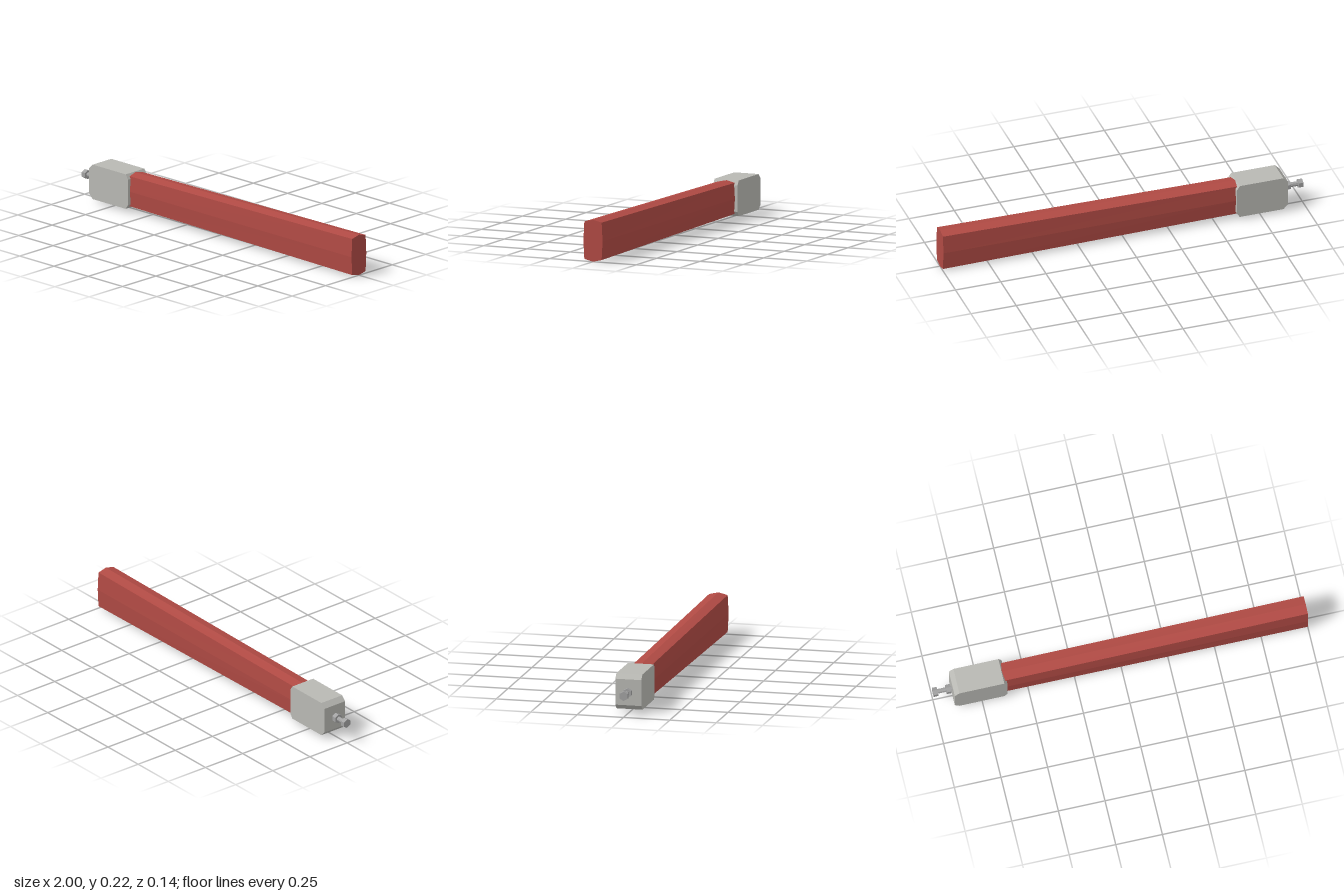
import * as THREE from 'three';

const MID = 0.112; // height of the long axis

function material(name, color) {
  const m = new THREE.MeshStandardMaterial({ color });
  m.name = name;
  return m;
}

function part(group, name, geometry, mat) {
  const mesh = new THREE.Mesh(geometry, mat);
  mesh.name = name;
  group.add(mesh);
  return mesh;
}

// Eight-sided blade section, [y, z], tapered in height from tip to root
function bladeGeometry() {
  const rootX = -0.66, tipX = 1, rootScale = 0.825;
  const section = [
    [0.111, 0], [0.099, 0.05], [0, 0.0555], [-0.099, 0.05],
    [-0.111, 0], [-0.099, -0.05], [0, -0.0555], [0.099, -0.05],
  ];
  const shape = new THREE.Shape(section.map(([y, z]) => new THREE.Vector2(-z, y)));
  const geo = new THREE.ExtrudeGeometry(shape, { depth: tipX - rootX, bevelEnabled: false });
  geo.rotateY(Math.PI / 2);
  geo.translate(rootX, 0, 0);
  const p = geo.attributes.position;
  for (let i = 0; i < p.count; i++) {
    const t = (p.getX(i) - rootX) / (tipX - rootX);
    p.setY(i, p.getY(i) * (rootScale + (1 - rootScale) * t));
  }
  geo.translate(0, MID, 0);
  geo.computeVertexNormals();
  return geo;
}

// Block with its four corners cut off, seen from the side
function blockGeometry() {
  const l = -0.898, r = -0.615, b = 0.018, t = 0.207, c = 0.025, cr = 0.017;
  const shape = new THREE.Shape([
    [l + c, b], [r - cr, b], [r, b + c], [r, t - c],
    [r - cr, t], [l + c, t], [l, t - c], [l, b + c],
  ].map(([x, y]) => new THREE.Vector2(x, y)));
  const geo = new THREE.ExtrudeGeometry(shape, { depth: 0.14, bevelEnabled: false });
  return geo.translate(0, 0, -0.07);
}

// Hexagonal or round rod lying along x, with a corner pointing up
function rodGeometry(x0, x1, radius, sides) {
  const geo = new THREE.CylinderGeometry(radius, radius, x1 - x0, sides);
  geo.rotateY(Math.PI / 2);
  geo.rotateZ(Math.PI / 2);
  return geo.translate((x0 + x1) / 2, MID + 0.002, 0);
}

export function createModel() {
  const model = new THREE.Group();
  model.name = 'blade';
  const red = material('red', 0xb04a44);
  const grey = material('lightGrey', 0xb8b8b3);
  const steel = material('steelGrey', 0xa2a2a2);
  steel.flatShading = true;

  part(model, 'bladeBody', bladeGeometry(), red);
  part(model, 'mountBlock', blockGeometry(), grey);

  // Bolt: shaft with a hexagonal head and a nut
  const bolt = new THREE.Group();
  bolt.name = 'bolt';
  part(bolt, 'boltShaft', rodGeometry(-0.99, -0.88, 0.013, 8), steel);
  part(bolt, 'boltHead', rodGeometry(-1, -0.975, 0.025, 6), steel);
  part(bolt, 'boltNut', rodGeometry(-0.93, -0.904, 0.025, 6), steel);
  model.add(bolt);
  return model;
}
